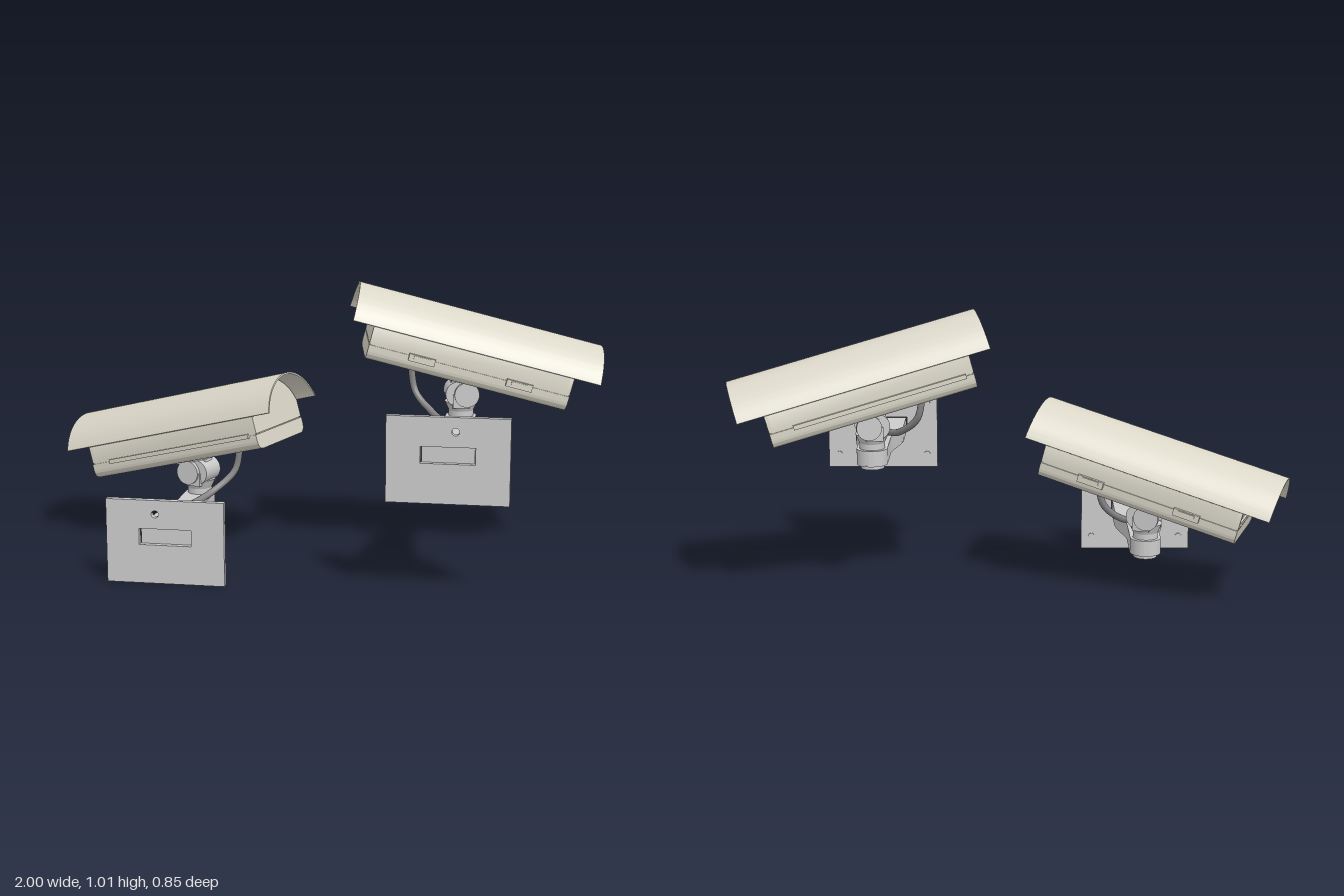
import * as THREE from 'three';
import { toCreasedNormals } from 'three/addons/utils/BufferGeometryUtils.js';

const grey = new THREE.MeshStandardMaterial({ color: 0xcccccc });
const beige = new THREE.MeshStandardMaterial({ color: 0xdad6c8 });
const dark = new THREE.MeshStandardMaterial({ color: 0x858585 });
const PITCH = THREE.MathUtils.degToRad(15);

function add(parent, name, geometry, material, x = 0, y = 0, z = 0) {
  const mesh = new THREE.Mesh(geometry, material);
  mesh.name = name;
  mesh.position.set(x, y, z);
  parent.add(mesh);
  return mesh;
}
const box = (w, h, d) => new THREE.BoxGeometry(w, h, d);
const cyl = (top, bottom, h) => new THREE.CylinderGeometry(top, bottom, h, 32);

function extrude(shape, depth) {
  const g = new THREE.ExtrudeGeometry(shape, { depth, bevelEnabled: false, curveSegments: 24 });
  return toCreasedNormals(g, 0.5);
}
// Extrude a cross-section (across, up) along the camera axis from x0 to x1
const alongX = (shape, x0, x1) => extrude(shape, x1 - x0).rotateY(Math.PI / 2).translate(x0, 0, 0);
// Extrude a plan outline (x, -z) upwards from y0 to y1
const upward = (shape, y0, y1) => extrude(shape, y1 - y0).rotateX(-Math.PI / 2).translate(0, y0, 0);

function rect(w, h, x = 0, y = 0) {
  return new THREE.Shape([[-1, -1], [1, -1], [1, 1], [-1, 1]]
    .map(([a, b]) => new THREE.Vector2(x + a * w / 2, y + b * h / 2)));
}

// Lower tray: flat bottom with rounded edges
function traySection() {
  const w = 0.172, r = 0.035, s = new THREE.Shape();
  s.moveTo(-w, 0.055);
  s.lineTo(-w, r);
  s.quadraticCurveTo(-w, 0, -w + r, 0);
  s.lineTo(w - r, 0);
  s.quadraticCurveTo(w, 0, w, r);
  s.lineTo(w, 0.055);
  return s;
}

// Domed section used for the lid and the window
function domeSection(w, base, shoulder, top) {
  const h = top - shoulder, r = (w * w + h * h) / (2 * h), cy = top - r;
  const a = Math.atan2(shoulder - cy, w), s = new THREE.Shape();
  s.moveTo(-w, base);
  s.lineTo(w, base);
  s.lineTo(w, shoulder);
  s.absarc(0, cy, r, a, Math.PI - a, false);
  s.lineTo(-w, base);
  return s;
}

// Thin arched sunshield
function hoodSection() {
  const r = 0.195, a = THREE.MathUtils.degToRad(24), s = new THREE.Shape();
  s.absarc(0, 0.045, r, a, Math.PI - a, false);
  s.absarc(0, 0.045, r - 0.006, Math.PI - a, a, true);
  s.closePath();
  return s;
}

// Housing, pointing along +x, with its underside on y = 0
function createHousing() {
  const g = new THREE.Group();
  g.name = 'housing';
  add(g, 'tray', alongX(traySection(), -0.37, 0.365), beige);
  add(g, 'seam', box(0.725, 0.006, 0.336), beige, -0.002, 0.056, 0);
  const lid = () => domeSection(0.168, 0.058, 0.118, 0.228);
  add(g, 'lid', alongX(lid(), -0.37, 0.352), beige);
  const frame = lid();
  frame.holes.push(domeSection(0.15, 0.074, 0.115, 0.216));
  add(g, 'windowFrame', alongX(frame, 0.352, 0.365), beige);
  add(g, 'window', alongX(domeSection(0.151, 0.073, 0.115, 0.217), 0.352, 0.358), grey);
  add(g, 'hood', alongX(hoodSection(), -0.447, 0.46), beige);

  // Latches on one side, long hinge on the other
  for (const x of [-0.177, 0.18]) {
    add(g, 'latch', box(0.095, 0.026, 0.012), beige, x, 0.05, 0.178);
    add(g, 'latchCatch', box(0.06, 0.012, 0.02), beige, x, 0.054, 0.178);
  }
  add(g, 'hinge', box(0.62, 0.016, 0.01), beige, -0.03, 0.055, -0.176);

  // Oval underside panel
  const oval = new THREE.Shape();
  oval.absellipse(0, 0, 0.28, 0.12, 0, Math.PI * 2);
  add(g, 'undersidePanel', upward(oval, -0.003, 0.002), beige);

  // Tilting half of the joint
  add(g, 'mountPlate', box(0.14, 0.012, 0.12), grey, 0, -0.008, 0);
  add(g, 'jointLug', box(0.07, 0.05, 0.05), grey, 0, -0.035, 0);
  add(g, 'jointBarrel', cyl(0.046, 0.046, 0.1).rotateX(Math.PI / 2), grey, 0, -0.057, 0);
  return g;
}

// Plan outline of the arm; inset shrinks it for the hollow
function armOutline(inset) {
  const w = 0.09 - inset, n = 0.055 - inset, s = new THREE.Shape();
  s.moveTo(-w, -0.41);
  s.lineTo(w, -0.41);
  s.lineTo(w, -0.27);
  s.bezierCurveTo(w, -0.18, n + 0.005, -0.12, n, -0.06);
  s.lineTo(n, 0.11);
  s.absarc(0, 0.11, n, 0, Math.PI, false);
  s.lineTo(-n, -0.06);
  s.bezierCurveTo(-n - 0.005, -0.12, -w, -0.18, -w, -0.27);
  s.closePath();
  return s;
}

// Wall bracket with its foot at y = 0
function createBracket(yaw, cableX) {
  const g = new THREE.Group();
  g.name = 'bracket';
  const plate = rect(0.42, 0.3, 0, 0.15);
  const cableHole = new THREE.Path();
  cableHole.absarc(cableX, 0.25, 0.013, 0, Math.PI * 2, true);
  plate.holes.push(rect(0.186, 0.058, 0, 0.168), cableHole);
  add(g, 'wallPlate', extrude(plate, 0.023), grey, 0, 0, 0.407);
  for (const x of [-0.17, 0.17]) for (const y of [0.05, 0.255])
    add(g, 'screw', cyl(0.012, 0.012, 0.006).rotateX(Math.PI / 2), grey, x, y, 0.405);

  // Hollow arm: side wall, floor and roof
  const wall = new THREE.Shape(armOutline(0).getPoints(16));
  const hollow = armOutline(0.006).getPoints(16);
  wall.holes.push(new THREE.Path(hollow));
  // open the wall end behind the plate slot by leaving only thin sides there
  hollow.forEach(p => { if (p.y < -0.4) p.y = -0.4099; });
  add(g, 'armSides', upward(wall, 0.142, 0.192), grey);
  add(g, 'armFloor', upward(armOutline(0), 0.138, 0.143), grey);
  add(g, 'armRoof', upward(armOutline(0), 0.19, 0.195), grey);

  // Swivel column and fork
  add(g, 'pivotCap', cyl(0.042, 0.042, 0.03), grey, 0, 0.138, -0.105);
  add(g, 'pivotPin', cyl(0.04, 0.04, 0.06), grey, 0, 0.168, -0.105);
  add(g, 'pivotNeck', cyl(0.045, 0.045, 0.03), grey, 0, 0.207, -0.105);
  const fork = new THREE.Group();
  fork.name = 'fork';
  fork.position.set(0, 0, -0.105);
  fork.rotation.y = yaw;
  g.add(fork);
  add(fork, 'forkBase', cyl(0.06, 0.044, 0.035), grey, 0, 0.231, 0);
  for (const side of [-1, 1]) {
    add(fork, 'forkEar', box(0.06, 0.05, 0.016), grey, -0.005, 0.255, side * 0.05);
    add(fork, 'forkDisc', cyl(0.045, 0.045, 0.018).rotateX(Math.PI / 2), grey, 0.015, 0.28, side * 0.056);
  }
  return g;
}

function createCamera(name, x, y, yawDegrees, cableX, cablePoints) {
  const yaw = THREE.MathUtils.degToRad(yawDegrees);
  const g = new THREE.Group();
  g.name = name;
  g.position.set(x, y, 0);
  g.add(createBracket(yaw, cableX));

  const turn = new THREE.Group();
  turn.name = 'swivel';
  turn.position.set(0, 0.336, -0.105);
  turn.rotation.y = yaw;
  const housing = createHousing();
  housing.rotation.z = -PITCH;
  turn.add(housing);
  g.add(turn);

  // Cable sagging from the plate to the underside
  const path = new THREE.CatmullRomCurve3(cablePoints.map(p => new THREE.Vector3(...p)));
  add(g, 'cable', new THREE.TubeGeometry(path, 40, 0.0125, 12), dark);
  return g;
}

export function createModel() {
  const model = new THREE.Group();
  model.name = 'securityCameras';
  model.add(createCamera('highCamera', 0.49, 0.33, 10, 0.025, [
    [0.025, 0.25, 0.42], [0, 0.217, 0.27], [-0.03, 0.207, 0.13],
    [-0.09, 0.225, 0.02], [-0.16, 0.29, -0.04], [-0.18, 0.4, -0.045]]));
  model.add(createCamera('lowCamera', -0.49, 0, 161.7, -0.035, [
    [-0.035, 0.25, 0.42], [-0.01, 0.217, 0.27], [0.02, 0.207, 0.13],
    [0.08, 0.232, 0.01], [0.15, 0.3, -0.04], [0.17, 0.4, -0.045]]));
  return model;
}
